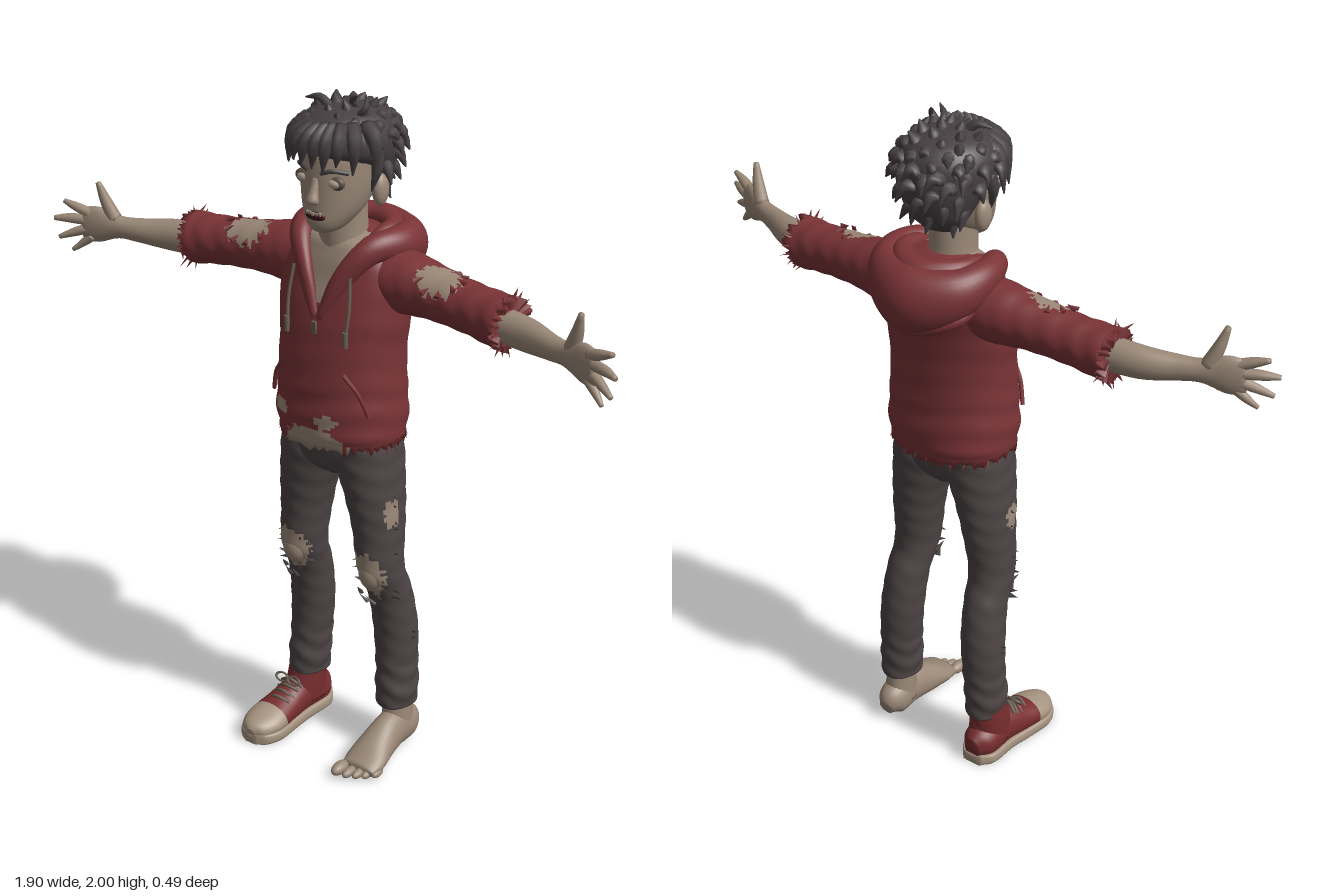
import * as THREE from 'three';
import { mergeGeometries } from 'three/addons/utils/BufferGeometryUtils.js';

const V = (x, y, z) => new THREE.Vector3(x, y, z);
const X = V(1, 0, 0), Y = V(0, 1, 0);
let seed = 7;
const rnd = () => (seed = (seed * 16807) % 2147483647) / 2147483647;

const colours = {
  skin: 0x9b8978, hoodie: 0x7b3437, trousers: 0x4d4445, hair: 0x474042, canvas: 0x762c2e,
  rubber: 0xa69480, eye: 0xb3a794, mouth: 0x451a1b, cord: 0x6a5f52, shade: 0x5e4f47,
};
const mats = {};

// Lofted tube through rows [x, y, z, ra, rb]; ra lies along ref, rb across it.
function loft(rows, ref, { n = 20, steps = 24, axis, power = 1, edit, pick } = {}) {
  const pos = new THREE.CatmullRomCurve3(rows.map(r => V(r[0], r[1], r[2])), false, 'catmullrom');
  const rad = new THREE.CatmullRomCurve3(rows.map(r => V(r[3], r[4], 0)), false, 'catmullrom');
  const sp = c => Math.sign(c) * Math.abs(c) ** power;
  const verts = [], sides = [[], []];
  for (let i = 0; i <= steps; i++) {
    const u = i / steps, c = pos.getPoint(u), r = rad.getPoint(u);
    const t = axis || pos.getTangent(u);
    const a = ref.clone().addScaledVector(t, -ref.dot(t)).normalize(), b = t.clone().cross(a);
    for (let j = 0; j < n; j++) {
      const w = j / n * Math.PI * 2;
      const v = c.clone().addScaledVector(a, r.x * sp(Math.cos(w))).addScaledVector(b, r.y * sp(Math.sin(w)));
      if (edit) edit(v, u, w, c);
      verts.push(v);
    }
  }
  verts.push(pos.getPoint(0), pos.getPoint(1));
  const face = (...f) => {
    const m = f.reduce((s, k) => s.add(verts[k]), V(0, 0, 0)).divideScalar(f.length);
    const out = sides[pick && pick(m) ? 1 : 0];
    for (let k = 2; k < f.length; k++) out.push(f[0], f[k - 1], f[k]);
  };
  const top = steps * n;
  for (let j = 0; j < n; j++) {
    const k = (j + 1) % n;
    for (let i = 0; i < top; i += n) face(i + j, i + k, i + n + k, i + n + j);
    face(verts.length - 2, k, j);
    face(verts.length - 1, top + j, top + k);
  }
  const g = new THREE.BufferGeometry().setFromPoints(verts);
  g.setIndex([...sides[0], ...sides[1]]);
  g.addGroup(0, sides[0].length, 0);
  if (sides[1].length) g.addGroup(sides[0].length, sides[1].length, 1);
  g.computeVertexNormals();
  return g;
}
const flip = (rows, s) => rows.map(r => [r[0] * s, ...r.slice(1)]);
const ball = (x, y, z, rx, ry, rz) => new THREE.SphereGeometry(1, 20, 14).scale(rx, ry, rz).translate(x, y, z);
const tube = (pts, r) => new THREE.TubeGeometry(new THREE.CatmullRomCurve3(pts.map(p => V(...p))), 20, r, 8);
// Jagged ellipsoid test used for the torn openings
const torn = (p, c, r) => {
  const jag = Math.sin(p.x * 170 + p.y * 130) * Math.sin(p.y * 110 + p.z * 190);
  return ((p.x - c[0]) / r[0]) ** 2 + ((p.y - c[1]) / r[1]) ** 2 + ((p.z - c[2]) / r[2]) ** 2 < 1 + 0.35 * jag;
};
// Small pointed shred of cloth
const shred = (p, d, len = 0.035) => new THREE.ConeGeometry(0.011, len, 4).scale(1, 1, 0.6)
  .applyQuaternion(new THREE.Quaternion().setFromUnitVectors(Y, d.normalize())).translate(p.x, p.y, p.z);

export function createModel() {
  seed = 7;
  const root = new THREE.Group();
  for (const k in colours) {
    mats[k] = new THREE.MeshStandardMaterial({ color: colours[k] });
    mats[k].name = k;
  }
  const add = (name, geo, ...m) => {
    const g = Array.isArray(geo) ? mergeGeometries(geo) : geo;
    const mesh = new THREE.Mesh(g, m.length > 1 ? m.map(k => mats[k]) : mats[m[0]]);
    mesh.name = name;
    root.add(mesh);
  };

  // Hoodie body with open neck, bare belly and ragged hem
  add('hoodieBody', loft([
    [0, 1.03, 0.02, 0.183, 0.15], [0, 1.08, 0.02, 0.19, 0.157], [0, 1.2, 0.02, 0.186, 0.148],
    [0, 1.3, 0.015, 0.186, 0.14], [0, 1.4, 0.005, 0.197, 0.132], [0, 1.5, -0.015, 0.198, 0.122],
    [0, 1.56, -0.02, 0.165, 0.11], [0, 1.6, -0.02, 0.12, 0.09], [0, 1.62, -0.02, 0.05, 0.04]], X, {
    n: 96, steps: 80, axis: Y, power: 0.87,
    edit: (v, u, w) => {
      if (u === 0) v.y -= rnd() * 0.03;
      const k = 1 + 0.012 * Math.sin(v.y * 75 + 2 * Math.sin(w * 2)) * (v.y < 1.2 ? 1 : 0.3);
      v.x *= k; v.z *= k;
    },
    pick: p => p.z > 0 && (p.y > 1.41 && Math.abs(p.x) < (p.y - 1.41) * 0.42
      || torn(p, [0.01, 1.02, 0.17], [0.1, 0.055, 0.1])
      || torn(p, [-0.12, 1.105, 0.15], [0.035, 0.018, 0.06]) || torn(p, [0.05, 1.1, 0.17], [0.035, 0.018, 0.06])),
  }), 'hoodie', 'skin');
  const hem = [];
  for (let i = 0; i < 30; i++) {
    const w = i / 30 * Math.PI * 2, s = Math.sin(w), c = Math.cos(w);
    if (s < 0.8) hem.push(shred(V(0.183 * c, 1.025, 0.02 + 0.148 * s), V(c * 0.3, -1, s * 0.3 + rnd() - 0.5), 0.03 + rnd() * 0.03));
  }
  add('hemShreds', hem, 'hoodie');

  // Hood lying on the back, with inner folds
  const around = half => [...half, ...flip(half.slice(0, -1), -1).reverse()];
  add('hood', loft(around([[0.006, 1.39, 0.132, 0.012, 0.014], [0.06, 1.5, 0.105, 0.03, 0.022], [0.115, 1.58, 0.05, 0.04, 0.035],
    [0.145, 1.585, -0.04, 0.05, 0.045], [0.11, 1.555, -0.125, 0.075, 0.06], [0, 1.53, -0.165, 0.1, 0.078]]), Y, { n: 28, steps: 60 }), 'hoodie');
  add('hoodFold', loft(around([[0.085, 1.56, 0.07, 0.02, 0.015], [0.105, 1.605, -0.01, 0.025, 0.022],
    [0.09, 1.61, -0.09, 0.03, 0.03], [0, 1.61, -0.14, 0.032, 0.04]]), Y, { n: 20, steps: 40 }), 'hoodie');
  add('hoodLowerFold', loft(around([[0.16, 1.54, -0.06, 0.015, 0.012], [0.125, 1.49, -0.14, 0.022, 0.025],
    [0, 1.455, -0.18, 0.028, 0.03]]), Y, { n: 16, steps: 30 }), 'hoodie');

  // Draw cords, zip pull and pocket seams
  for (const s of [1, -1]) {
    add('drawCord', tube([[0.095 * s, 1.52, 0.113], [0.103 * s, 1.43, 0.128], [0.1 * s, 1.37, 0.138]], 0.005), 'cord');
    add('cordTip', new THREE.CylinderGeometry(0.008, 0.008, 0.045, 8).translate(0.1 * s, 1.35, 0.141), 'cord');
    add('pocketSeam', tube([[0.1 * s, 1.25, 0.151], [0.14 * s, 1.2, 0.138], [0.165 * s, 1.13, 0.12]], 0.006), 'hoodie');
  }
  add('zipPull', new THREE.BoxGeometry(0.014, 0.035, 0.008).translate(0, 1.365, 0.148), 'cord');

  for (const s of [1, -1]) {
    // Torn sleeves
    add('sleeve', loft(flip([[0.1, 1.49, -0.02, 0.09, 0.09], [0.2, 1.49, -0.018, 0.087, 0.085], [0.3, 1.485, -0.01, 0.074, 0.074],
      [0.42, 1.475, 0, 0.07, 0.068], [0.53, 1.465, 0.01, 0.076, 0.072]], s), Y, {
      n: 72, steps: 70,
      edit: (v, u, w, c) => {
        v.sub(c).multiplyScalar(1 + 0.02 * Math.sin(u * 40 + 2 * Math.sin(w * 2)) * u).add(c);
        if (u === 1) v.x += s * (rnd() - 0.3) * 0.04;
      },
      pick: p => torn(p, [0.325 * s, 1.55, 0.03], [0.068, 0.06, 0.055]),
    }), 'hoodie', 'skin');
    const cuffs = [];
    for (let i = 0; i < 18; i++) {
      const w = i / 18 * Math.PI * 2, c = Math.cos(w), z = Math.sin(w);
      cuffs.push(shred(V(0.535 * s, 1.465 + 0.073 * c, 0.01 + 0.07 * z), V(s * (rnd() - 0.3), c * 0.8, z * 0.8 + rnd() - 0.5), 0.03 + rnd() * 0.035));
    }
    for (let i = 0; i < 10; i++) {
      const w = i / 10 * Math.PI * 2, z = 0.02 + 0.045 * Math.sin(w);
      cuffs.push(shred(V(s * (0.325 + 0.065 * Math.cos(w)), 1.483 + Math.sqrt(0.0053 - z * z), z), V(-s * Math.cos(w), 0.4, -Math.sin(w)), 0.03));
    }
    add('sleeveShreds', cuffs, 'hoodie');

    // Forearm, palm and fingers
    add('forearm', loft(flip([[0.45, 1.465, 0.01, 0.05, 0.045], [0.6, 1.46, 0.03, 0.047, 0.041], [0.7, 1.462, 0.065, 0.036, 0.03],
      [0.76, 1.465, 0.085, 0.034, 0.025], [0.82, 1.466, 0.105, 0.054, 0.022], [0.86, 1.462, 0.12, 0.05, 0.016],
      [0.87, 1.462, 0.124, 0.03, 0.008]], s), Y, { steps: 40 }), 'skin');
    add('fingers', [
      [[0.775, 1.485, 0.088, 0.022], [0.797, 1.54, 0.1, 0.017], [0.813, 1.597, 0.112, 0.008]],
      [[0.845, 1.497, 0.116, 0.016], [0.885, 1.512, 0.13, 0.014], [0.925, 1.526, 0.14, 0.007]],
      [[0.855, 1.475, 0.118, 0.016], [0.905, 1.477, 0.14, 0.014], [0.948, 1.475, 0.162, 0.007]],
      [[0.855, 1.45, 0.118, 0.016], [0.895, 1.435, 0.138, 0.013], [0.935, 1.418, 0.158, 0.007]],
      [[0.84, 1.43, 0.114, 0.015], [0.87, 1.405, 0.125, 0.012], [0.9, 1.38, 0.14, 0.006]],
    ].map(f => loft(flip(f.map(r => [...r, r[3]]), s), V(0, 0, 1), { n: 10, steps: 10 })), 'skin');

    // Trouser legs with bare knees and torn thighs
    add('trouserLeg', loft(flip([[0.09, 1.04, 0.02, 0.09, 0.113], [0.097, 0.95, 0.02, 0.092, 0.11], [0.115, 0.85, 0.02, 0.08, 0.1],
      [0.128, 0.75, 0.02, 0.07, 0.088], [0.138, 0.62, 0.022, 0.064, 0.075], [0.145, 0.52, -0.015, 0.062, 0.07],
      [0.152, 0.4, -0.035, 0.064, 0.068], [0.158, 0.28, -0.035, 0.06, 0.067], [0.162, 0.2, -0.03, 0.06, 0.07],
      [0.162, 0.15, -0.03, 0.056, 0.066]], s), X, {
      n: 64, steps: 110, axis: V(0, -1, 0),
      edit: (v, u, w, c) => {
        const k = 1 + (v.y < 0.3 ? 0.035 : 0.012) * Math.sin(v.y * 95 + 2 * Math.sin(w * 2 + 1));
        v.x = c.x + (v.x - c.x) * k; v.z = c.z + (v.z - c.z) * k;
      },
      pick: p => torn(p, [0.137 * s, 0.61, 0.09], [0.055, 0.075, 0.06]) || torn(p, [0.195 * s, 0.81, 0.045], [0.03, 0.045, 0.03]),
    }), 'trousers', 'skin');
    add('knee', ball(0.137 * s, 0.615, 0.066, 0.038, 0.055, 0.036), 'skin');
    const rips = [];
    for (let i = 0; i < 14; i++) {
      const w = i / 14 * Math.PI * 2, c = Math.cos(w), q = Math.sin(w);
      rips.push(shred(V(s * (0.137 + 0.053 * c), 0.61 + 0.074 * q, 0.015 + 0.075 * Math.sqrt(1 - 0.7 * c * c)), V(s * (c * 0.6 + rnd() - 0.5), -0.6 * q, 0.4), 0.04));
    }
    for (const [y, x] of [[0.86, 0.186], [0.83, 0.19], [0.78, 0.192], [0.76, 0.194], [0.68, 0.197], [0.56, 0.203], [0.54, 0.204], [0.4, 0.214], [0.38, 0.214]])
      rips.push(shred(V(s * x, y, y < 0.5 ? -0.03 : 0.035), V(s, rnd() - 0.7, rnd() - 0.5), 0.035));
    add('trouserShreds', rips, 'trousers');
    add('ankle', loft(flip([[0.16, 0.28, -0.035, 0.04, 0.045], [0.162, 0.14, -0.035, 0.042, 0.05], [0.163, 0.05, -0.035, 0.046, 0.06]], s), X), s > 0 ? 'skin' : 'canvas');
  }
  add('hips', loft([[0, 1.07, 0.02, 0.172, 0.125], [0, 0.98, 0.02, 0.182, 0.118], [0, 0.93, 0.02, 0.13, 0.1], [0, 0.895, 0.015, 0.04, 0.06]],
    X, { n: 40, axis: V(0, -1, 0) }), 'trousers');

  // Bare left foot
  const ground = v => { v.y = Math.max(v.y, 0.004); };
  add('foot', loft([[0.162, 0.04, -0.112, 0.022, 0.025], [0.162, 0.055, -0.075, 0.046, 0.056], [0.166, 0.062, 0, 0.045, 0.064],
    [0.17, 0.045, 0.08, 0.055, 0.05], [0.176, 0.03, 0.14, 0.063, 0.032], [0.176, 0.02, 0.185, 0.055, 0.018]],
  X, { n: 28, edit: ground }), 'skin');
  add('toes', [[0.133, 0.21, 0.019, 0.036], [0.163, 0.205, 0.014, 0.03], [0.188, 0.193, 0.013, 0.028], [0.21, 0.178, 0.012, 0.026], [0.23, 0.158, 0.012, 0.024]]
    .map(([x, z, r, l]) => ball(x, r + 0.003, z, r, r, l)), 'skin');

  // High-top shoe on the right foot
  const shoe = [[-0.172, 0.05, -0.113, 0.025, 0.035], [-0.172, 0.055, -0.07, 0.053, 0.055], [-0.174, 0.062, 0.02, 0.052, 0.062],
    [-0.178, 0.052, 0.09, 0.058, 0.05], [-0.18, 0.042, 0.17, 0.064, 0.04], [-0.18, 0.035, 0.22, 0.046, 0.032], [-0.18, 0.03, 0.242, 0.014, 0.018]];
  add('shoeUpper', loft(shoe, X, { n: 32, steps: 40, edit: ground, pick: p => p.z > 0.14 }), 'canvas', 'rubber');
  add('shoeSole', loft(shoe.map(([x, y, z, a]) => [x, 0.016, z, a + 0.006, 0.03]), X, {
    n: 32, steps: 40, power: 0.7, edit: v => { v.y = THREE.MathUtils.clamp(v.y, 0, 0.032); },
  }), 'rubber');
  add('shoeShaft', loft([[-0.168, 0.19, -0.03, 0.05, 0.056], [-0.17, 0.12, -0.022, 0.054, 0.064], [-0.172, 0.05, -0.01, 0.054, 0.075]], X, { n: 28 }), 'canvas');
  add('laces', [[0.128, 0.042], [0.115, 0.06], [0.106, 0.08], [0.098, 0.105]].map(([y, z], i) =>
    tube([[-0.215, y - 0.018, z], [-0.176, y + 0.004, z + 0.012], [-0.138, y - 0.018 + i % 2 * 0.008, z]], 0.005)), 'cord');
  add('laceBow', [1, -1].map(s => new THREE.TorusGeometry(0.018, 0.004, 6, 16).scale(1.2, 0.7, 1).rotateX(-0.6).translate(-0.176 + s * 0.022, 0.136, 0.064)), 'cord');

  // Neck and head
  add('neck', loft([[0, 1.45, 0.025, 0.07, 0.07], [0, 1.56, 0.012, 0.075, 0.072], [0, 1.62, 0.015, 0.066, 0.07], [0, 1.72, 0.02, 0.066, 0.07]], X, { n: 28 }), 'skin');
  add('head', loft([[0, 1.63, 0.1, 0.02, 0.02], [0, 1.642, 0.088, 0.044, 0.05], [0, 1.665, 0.072, 0.064, 0.075], [0, 1.7, 0.052, 0.085, 0.094],
    [0, 1.75, 0.035, 0.1, 0.108], [0, 1.8, 0.022, 0.107, 0.118], [0, 1.86, 0.008, 0.11, 0.122], [0, 1.92, 0, 0.085, 0.095], [0, 1.94, 0, 0.04, 0.05]],
  X, { n: 40, steps: 40, axis: Y }), 'skin');
  add('nose', loft([[0, 1.79, 0.134, 0.011, 0.008], [0, 1.755, 0.146, 0.013, 0.013], [0, 1.73, 0.153, 0.019, 0.016], [0, 1.718, 0.147, 0.014, 0.008]],
    X, { n: 16, steps: 14, axis: V(0, -1, 0) }), 'skin');
  for (const s of [1, -1]) {
    add('ear', ball(0.112 * s, 1.742, 0, 0.02, 0.045, 0.028).rotateY(0), 'skin');
    add('eyeSocket', ball(0.05 * s, 1.78, 0.118, 0.031, 0.021, 0.014), 'shade');
    add('eye', ball(0.05 * s, 1.779, 0.12, 0.024, 0.015, 0.016), 'eye');
    add('brow', tube([[0.02 * s, 1.806, 0.142], [0.05 * s, 1.815, 0.132], [0.082 * s, 1.807, 0.102]], 0.006), 'hair');
  }
  add('mouth', ball(0, 1.685, 0.139, 0.033, 0.016, 0.012), 'mouth');
  add('teeth', [-2, -1, 0, 1, 2].map(i => new THREE.BoxGeometry(0.008, 0.009, 0.006)
    .translate(i * 0.01, 1.692 - (i % 2) * 0.001, 0.149 - Math.abs(i) * 0.002)), 'eye');

  // Tousled hair: a cap covered with curved locks
  add('hairCap', loft([[0, 1.7, -0.05, 0.055, 0.035], [0, 1.74, -0.05, 0.092, 0.07], [0, 1.8, -0.035, 0.118, 0.105], [0, 1.85, -0.004, 0.134, 0.14],
    [0, 1.9, 0, 0.13, 0.14], [0, 1.94, 0, 0.1, 0.11], [0, 1.963, 0, 0.04, 0.045]], X, { n: 36, steps: 30, axis: Y }), 'hair');
  const lock = (a, b, c, r) => loft([[...a, r, r * 0.7], [...b, r * 0.8, r * 0.6], [...c, 0.002, 0.002]], V(0.45, 0.3, 0.84), { n: 8, steps: 8 });
  const locks = [];
  for (let i = 0; i < 90; i++) {
    const y = 1 - 1.75 * (i + 0.5) / 90, w = i * 2.39996, q = Math.sqrt(1 - y * y);
    const d = V(q * Math.cos(w), y, q * Math.sin(w));
    if (y < 0.15 && d.z > -0.1) continue;
    const p = V(d.x * 0.118, 1.86 + d.y * (y > 0 ? 0.08 : 0.15), -0.01 + d.z * 0.122);
    if (y < 0) { p.x *= 1 + y * 0.2; p.z += -y * 0.02; }
    const swirl = V(-d.z, 0, d.x).multiplyScalar(0.035 * (rnd() - 0.3)), m = p.clone().addScaledVector(d, 0.025).add(swirl);
    const e = m.clone().addScaledVector(d, 0.012 + rnd() * 0.014).add(swirl).add(V(0, y > 0.75 ? 0.004 : -0.03, 0));
    e.y = Math.min(e.y, 1.99);
    locks.push(lock(p.toArray(), m.toArray(), e.toArray(), 0.026));
  }
  // Fringe, sideburns and the stray tufts on top
  for (const [x, y, z] of [[-0.135, 1.79, 0.06], [-0.12, 1.8, 0.1], [-0.09, 1.82, 0.14], [-0.06, 1.835, 0.158], [-0.025, 1.83, 0.168],
    [0.01, 1.825, 0.168], [0.04, 1.815, 0.16], [0.075, 1.835, 0.148], [0.105, 1.81, 0.115], [0.135, 1.79, 0.06]])
    locks.push(lock([x * 0.6 + 0.015, 1.925, z * 0.7], [x * 0.95 + 0.01, 1.89, z * 0.98], [x, y, z], 0.034));
  for (const s of [1, -1]) locks.push(lock([0.115 * s, 1.86, 0.02], [0.122 * s, 1.81, 0.03], [0.108 * s, 1.745, 0.035], 0.026));
  locks.push(lock([0.04, 1.95, 0], [0.035, 1.98, 0.02], [0.065, 2, 0.04], 0.016), lock([0.06, 1.94, 0.03], [0.085, 1.97, 0.03], [0.07, 1.995, 0.01], 0.015),
    lock([-0.03, 1.95, 0.03], [-0.06, 1.975, 0.04], [-0.1, 1.97, 0.05], 0.018));
  add('hairLocks', locks, 'hair');
  return root;
}
